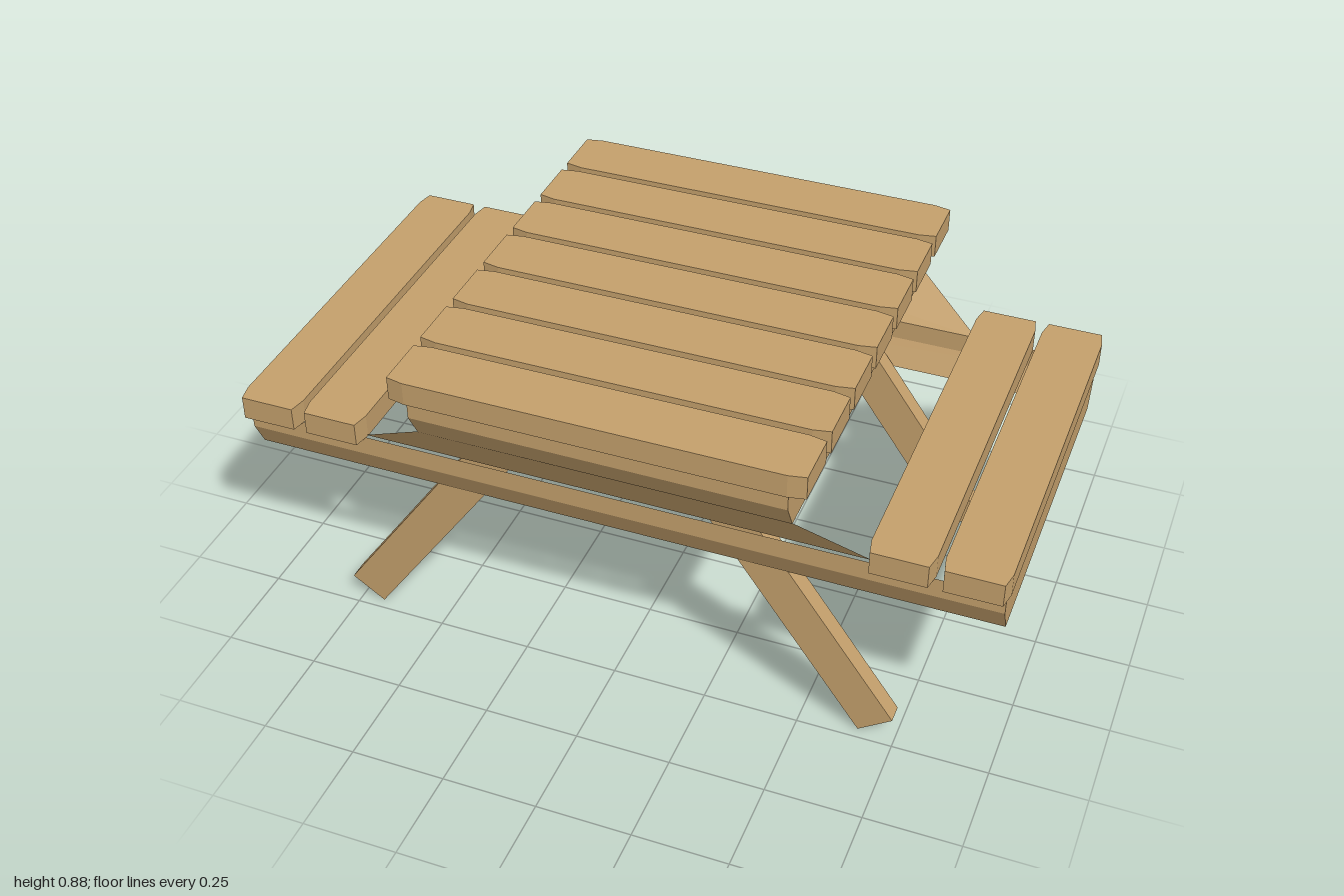
import * as THREE from 'three';

const wood = new THREE.MeshStandardMaterial({ color: 0xc4a06c, side: THREE.DoubleSide });
wood.name = 'wood';

function add(group, name, geometry) {
  const mesh = new THREE.Mesh(geometry, wood);
  mesh.name = name;
  group.add(mesh);
  return mesh;
}

// Extrudes a 2D outline along z, from z = 0 to depth
function prism(points, depth) {
  const shape = new THREE.Shape(points.map(([x, y]) => new THREE.Vector2(x, y)));
  return new THREE.ExtrudeGeometry(shape, { depth, bevelEnabled: false });
}

// Plank lying along x, with clipped corners, standing on y = 0
function plank(length, width, height) {
  const a = length / 2, b = width / 2, ca = 0.045, cb = 0.009;
  const outline = [
    [-a, -b + cb], [-a + ca, -b], [a - ca, -b], [a, -b + cb],
    [a, b - cb], [a - ca, b], [-a + ca, b], [-a, b - cb],
  ];
  return prism(outline, height).rotateX(-Math.PI / 2);
}

// Thin flat panels, each a convex polygon split into a fan of triangles
function panels(polygons) {
  const positions = [];
  for (const p of polygons) {
    for (let i = 1; i < p.length - 1; i++) positions.push(...p[0], ...p[i], ...p[i + 1]);
  }
  const geometry = new THREE.BufferGeometry();
  geometry.setAttribute('position', new THREE.Float32BufferAttribute(positions, 3));
  geometry.computeVertexNormals();
  return geometry;
}

export function createModel() {
  const model = new THREE.Group();
  model.name = 'picnicTable';

  // Table top: seven planks
  const tableTop = new THREE.Group();
  tableTop.name = 'tableTop';
  for (let i = 0; i < 7; i++) {
    add(tableTop, 'tablePlank', plank(1.055, 0.159, 0.063)).position.set(0.003, 0.82, -0.002 + (i - 3) * 0.179);
  }
  model.add(tableTop);

  // Tapered block beneath the table top, drawn as (-z, y) and turned along x
  const base = [[-0.6, 0.82], [-0.6, 0.77], [-0.56, 0.698], [0.57, 0.698], [0.61, 0.77], [0.61, 0.82]];
  add(model, 'tableBase', prism(base, 0.965).rotateY(Math.PI / 2)).position.x = -0.48;

  // Benches: two planks on each side
  for (const side of [-1, 1]) {
    const bench = new THREE.Group();
    bench.name = side > 0 ? 'leftBench' : 'rightBench';
    for (const x of [0.74, 0.918]) {
      const geometry = plank(1.055, 0.16, 0.063).rotateY(Math.PI / 2);
      add(bench, 'benchPlank', geometry).position.set(side * x, 0.592, 0.017);
    }
    model.add(bench);
  }

  // Open frame carrying the benches: bent front and back beams, flat ends
  const profile = [[0.51, 0.594], [0.51, 0.54], [0.475, 0.469], [-0.43, 0.469], [-0.465, 0.54], [-0.465, 0.594]];
  const X = 0.99;
  const frame = [-X, X].map((x) => profile.map(([z, y]) => [x, y, z]));
  for (const i of [0, 1, 3, 4]) {
    if (i === 3) {
      frame.push([[-X, 0.469, -0.43], [X, 0.469, -0.43], [X, 0.54, -0.465], [-X, 0.54, -0.465]]);
      continue;
    }
    const [z0, y0] = profile[i], [z1, y1] = profile[i + 1];
    frame.push([[-X, y0, z0], [-X, y1, z1], [X, y1, z1], [X, y0, z0]]);
  }
  add(model, 'benchFrame', panels(frame));

  // Sloping panels joining the table base to the bench frame
  for (const [name, zTop, zLow] of [['frontPanel', 0.56, 0.5], ['backPanel', -0.57, -0.465]]) {
    add(model, name, panels([[
      [-0.48, 0.7, zTop], [-0.665, 0.594, zLow], [0.665, 0.594, zLow], [0.485, 0.7, zTop],
    ]]));
  }

  // Splayed legs with square-cut feet; one back leg sits further out and shorter
  const slope = 1.41, top = 0.71;
  function leg(name, side, xFoot, yFoot, z) {
    const outer = [xFoot, yFoot + 0.06], inner = [xFoot - 0.087, yFoot];
    const outline = [outer, inner,
      [inner[0] - (top - inner[1]) / slope, top],
      [outer[0] - (top - outer[1]) / slope, top]].map(([x, y]) => [x * side, y]);
    add(model, name, prism(outline, 0.05)).position.z = z;
  }
  leg('frontLeftLeg', 1, 0.74, 0, 0.422);
  leg('frontRightLeg', -1, 0.775, 0, 0.422);
  leg('backLeftLeg', 1, 0.745, 0, -0.428);
  leg('backRightLeg', -1, 0.775, 0.09, -0.428);

  return model;
}
